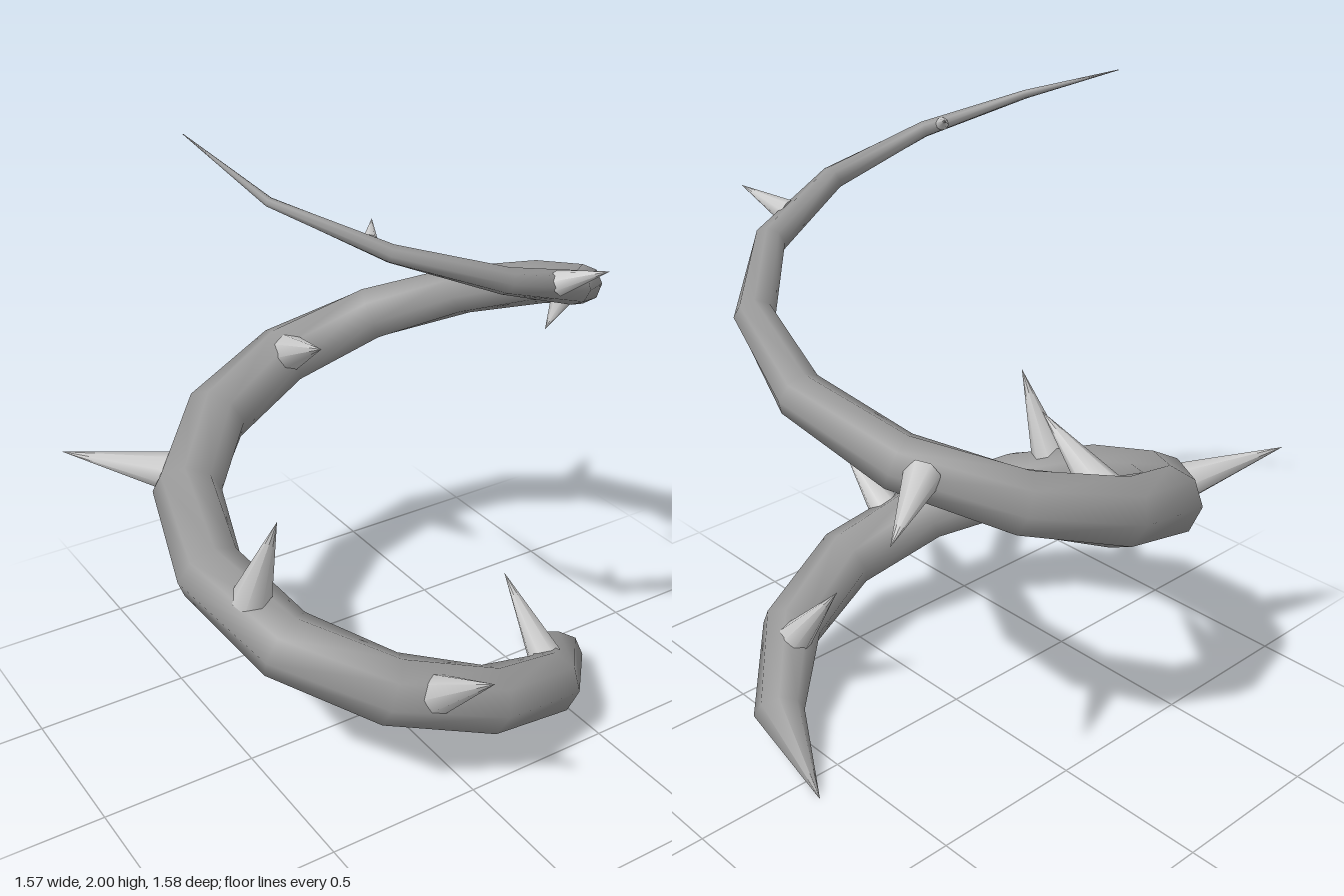
import * as THREE from 'three';

const vineMaterial = new THREE.MeshStandardMaterial({ color: 0x999999 });
const thornMaterial = new THREE.MeshStandardMaterial({ color: 0xcccccc });

// Helix of one and a half turns, twelve sections per turn
const CX = 0.04, CZ = -0.09, R = 0.6, STEP = Math.PI / 6, RISE = 2 / 18;
const RADII = [0.001, 0.08, 0.1, 0.105, 0.108, 0.108, 0.108, 0.108, 0.107, 0.102,
  0.092, 0.081, 0.069, 0.058, 0.048, 0.037, 0.025, 0.013, 0.001];

// Tapered vine: an eight-sided ring at every section of the helix
function vineGeometry(sides = 8) {
  const positions = [], index = [];
  RADII.forEach((r, i) => {
    const a = i * STEP, c = Math.cos(a), s = Math.sin(a);
    const centre = new THREE.Vector3(CX + R * c, i * RISE, CZ + R * s);
    const tangent = new THREE.Vector3(-R * s, RISE / STEP, R * c).normalize();
    const out = new THREE.Vector3(c, 0, s);
    const up = new THREE.Vector3().crossVectors(tangent, out);
    for (let j = 0; j < sides; j++) {
      const t = (j / sides) * Math.PI * 2;
      const p = centre.clone()
        .addScaledVector(out, r * Math.cos(t))
        .addScaledVector(up, r * Math.sin(t));
      positions.push(p.x, p.y, p.z);
      if (i < RADII.length - 1) {
        const k = (j + 1) % sides;
        const a0 = i * sides + j, b0 = i * sides + k;
        index.push(a0, b0, a0 + sides, b0, b0 + sides, a0 + sides);
      }
    }
  });
  const g = new THREE.BufferGeometry();
  g.setAttribute('position', new THREE.Float32BufferAttribute(positions, 3));
  g.setIndex(index);
  g.computeVertexNormals();
  return g;
}

// Thorn: a cone from a base point to a tip point
function thorn(base, tip, radius) {
  const b = new THREE.Vector3(...base), t = new THREE.Vector3(...tip);
  const dir = t.clone().sub(b), length = dir.length();
  const g = new THREE.ConeGeometry(radius, length, 8);
  g.translate(0, length / 2, 0);
  const mesh = new THREE.Mesh(g, thornMaterial);
  mesh.position.copy(b);
  mesh.quaternion.setFromUnitVectors(new THREE.Vector3(0, 1, 0), dir.normalize());
  return mesh;
}

// base, tip, base radius, from the bottom of the vine to the top
const THORNS = [
  [[0.39, 0.25, 0.34], [0.35, 0.485, 0.163], 0.056],
  [[-0.155, 0.435, 0.515], [-0.156, 0.642, 0.787], 0.062],
  [[-0.528, 0.665, 0.105], [-0.493, 0.972, 0.215], 0.063],
  [[-0.5, 0.815, -0.475], [-0.784, 0.896, -0.632], 0.062],
  [[0.032, 1.03, -0.635], [-0.013, 1.164, -0.343], 0.064],
  [[0.555, 1.21, -0.475], [0.782, 1.153, -0.617], 0.052],
  [[0.575, 1.36, 0.1], [0.512, 1.272, 0.105], 0.034],
  [[0.237, 1.61, 0.487], [0.298, 1.673, 0.617], 0.036],
  [[-0.287, 1.8, 0.375], [-0.24, 1.83, 0.31], 0.02],
];

export function createModel() {
  const model = new THREE.Group();
  model.name = 'thornyVine';

  const vine = new THREE.Mesh(vineGeometry(), vineMaterial);
  vine.name = 'vine';
  model.add(vine);

  const thorns = new THREE.Group();
  thorns.name = 'thorns';
  THORNS.forEach((spec, i) => {
    const mesh = thorn(...spec);
    mesh.name = `thorn${i + 1}`;
    thorns.add(mesh);
  });
  model.add(thorns);
  return model;
}
